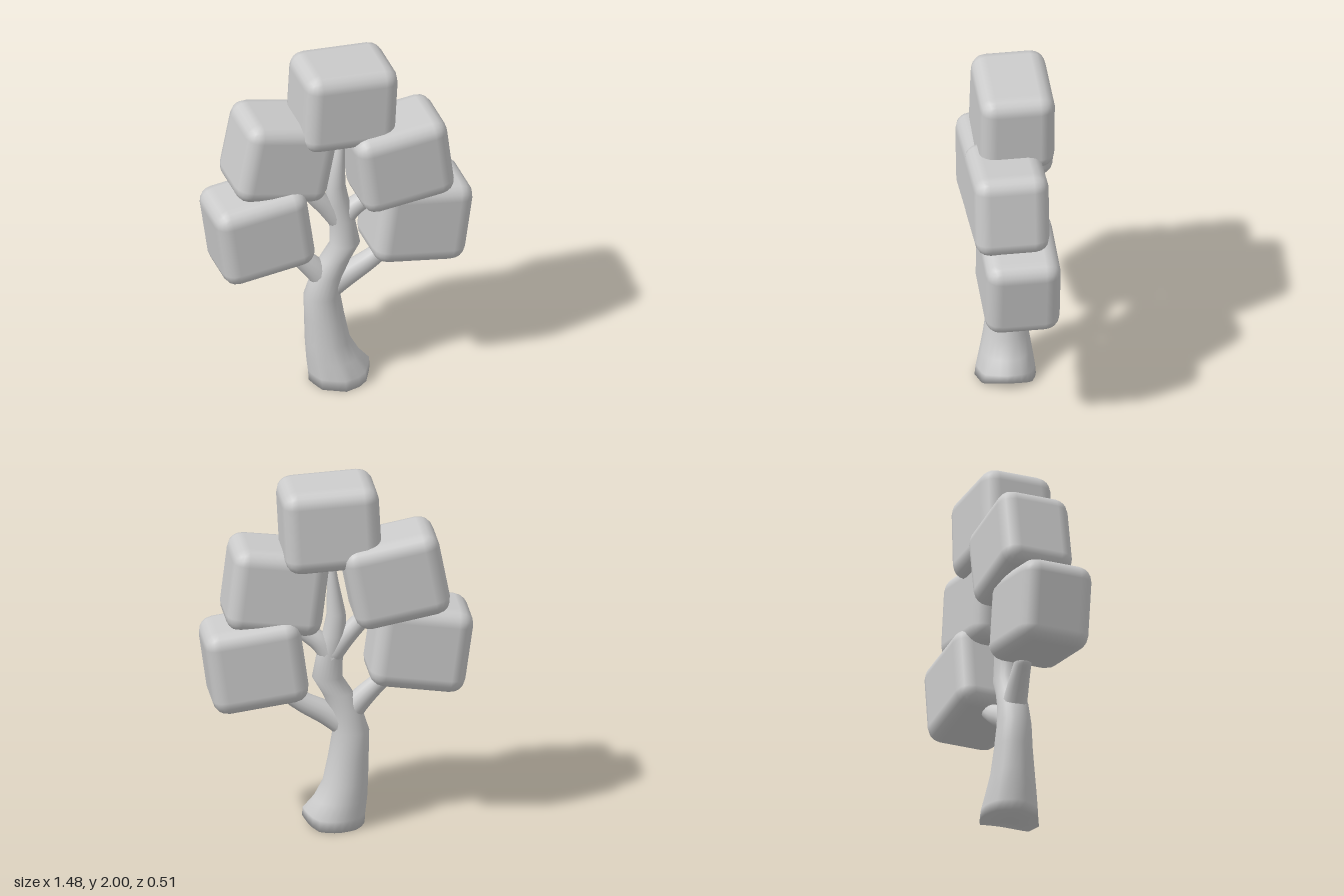
import * as THREE from 'three';
import { mergeVertices } from 'three/addons/utils/BufferGeometryUtils.js';
import { RoundedBoxGeometry } from 'three/addons/geometries/RoundedBoxGeometry.js';

const material = new THREE.MeshStandardMaterial({ color: 0xcccccc, roughness: 0.9 });

function addMesh(parent, geometry, name) {
  const mesh = new THREE.Mesh(geometry, material);
  mesh.name = name;
  parent.add(mesh);
  return mesh;
}

// Weld the seams and caps so the wood shades smoothly
function smooth(geometry) {
  geometry.deleteAttribute('normal');
  geometry.deleteAttribute('uv');
  const welded = mergeVertices(geometry, 1e-4);
  welded.computeVertexNormals();
  return welded;
}

// Trunk: horizontal rings [y, centre x, radius x, centre z, radius z]
function trunkGeometry() {
  const levels = [
    [0, 0.012, 0.165, 0.015, 0.162],
    [0.06, 0.008, 0.166, 0.015, 0.157],
    [0.15, -0.025, 0.145, 0.013, 0.14],
    [0.25, -0.053, 0.123, 0.012, 0.122],
    [0.4, -0.07, 0.11, 0.01, 0.105],
    [0.54, -0.083, 0.1, 0.01, 0.094],
    [0.67, -0.053, 0.088, 0.012, 0.085],
    [0.76, -0.01, 0.085, 0.012, 0.078],
    [0.85, 0.045, 0.083, 0.01, 0.072],
    [1.0, 0.03, 0.07, 0.005, 0.066],
    [1.1, 0.008, 0.066, 0, 0.06],
    [1.22, -0.003, 0.052, 0, 0.05],
    [1.4, 0.015, 0.032, 0, 0.034],
    [1.56, 0.03, 0.018, 0, 0.02],
  ];
  const rows = levels.length - 1;
  const geometry = new THREE.CylinderGeometry(1, 1, rows, 24, rows);
  const p = geometry.attributes.position;
  for (let i = 0; i < p.count; i++) {
    const [y, cx, rx, cz, rz] = levels[Math.round(p.getY(i) + rows / 2)];
    const angle = Math.atan2(p.getZ(i), p.getX(i));
    // Root flutes fade out up the trunk and towards the back
    const flute = Math.max(0, 1 - y / 0.3) * (0.55 + 0.45 * Math.sin(angle));
    const k = 1 + 0.05 * flute * Math.cos(8 * angle);
    const x = cx + p.getX(i) * rx * k;
    // The toe on the left lifts off the ground
    const lift = Math.max(0, x - 0.1) * 0.6 * Math.max(0, 1 - y / 0.25);
    p.setXYZ(i, x, y + lift, cz + p.getZ(i) * rz * k);
  }
  return smooth(geometry);
}

// Branch: tube that tapers from r0 to r1 and ends in a rounded tip
function branchGeometry(points, r0, r1) {
  const curve = new THREE.CatmullRomCurve3(points.map((q) => new THREE.Vector3(...q)));
  const segments = 24, sides = 14;
  const geometry = new THREE.TubeGeometry(curve, segments, 1, sides);
  const p = geometry.attributes.position;
  const v = new THREE.Vector3();
  const length = curve.getLength();
  for (let i = 0; i < p.count; i++) {
    const u = Math.floor(i / (sides + 1)) / segments;
    const tip = Math.min(1, ((1 - u) * length) / r1);
    const radius = THREE.MathUtils.lerp(r0, r1, u) * Math.sqrt(1 - (1 - tip) ** 2);
    const centre = curve.getPointAt(u);
    v.fromBufferAttribute(p, i).sub(centre).multiplyScalar(radius).add(centre);
    p.setXYZ(i, v.x, v.y, v.z);
  }
  return smooth(geometry);
}

export function createModel() {
  const tree = new THREE.Group();
  tree.name = 'tree';

  // Wood
  const wood = new THREE.Group();
  wood.name = 'wood';
  tree.add(wood);
  addMesh(wood, trunkGeometry(), 'trunk');
  const branches = [
    ['lowerRightBranch', [[-0.04, 0.6, 0.01], [-0.12, 0.7, 0.01], [-0.2, 0.785, 0.005], [-0.29, 0.87, 0]], 0.075, 0.043],
    ['lowerLeftBranch', [[-0.06, 0.57, 0.01], [0.04, 0.635, 0.01], [0.17, 0.705, 0], [0.33, 0.81, -0.01]], 0.075, 0.043],
    ['upperRightBranch', [[0.02, 0.99, 0], [-0.05, 1.08, 0], [-0.13, 1.17, 0], [-0.2, 1.25, -0.01]], 0.062, 0.042],
    ['upperLeftBranch', [[0.02, 0.97, 0], [0.08, 1.05, 0], [0.16, 1.11, 0.005], [0.25, 1.18, 0.01]], 0.062, 0.042],
  ];
  for (const [name, points, r0, r1] of branches) addMesh(wood, branchGeometry(points, r0, r1), name);

  // Foliage: rounded blocks [name, x, y, z, roll in degrees]
  const foliage = new THREE.Group();
  foliage.name = 'foliage';
  tree.add(foliage);
  const block = new RoundedBoxGeometry(0.53, 0.475, 0.41, 2, 0.085);
  const blocks = [
    ['topFoliage', 0.037, 1.757, -0.02, -3],
    ['upperRightFoliage', -0.315, 1.46, -0.033, -11],
    ['upperLeftFoliage', 0.33, 1.383, 0.025, 7],
    ['lowerRightFoliage', -0.45, 1.045, 0.035, 8],
    ['lowerLeftFoliage', 0.445, 0.972, -0.03, -8],
  ];
  for (const [name, x, y, z, roll] of blocks) {
    const mesh = addMesh(foliage, block, name);
    mesh.position.set(x, y, z);
    mesh.rotation.set(0, THREE.MathUtils.degToRad(5), THREE.MathUtils.degToRad(roll));
  }
  return tree;
}
